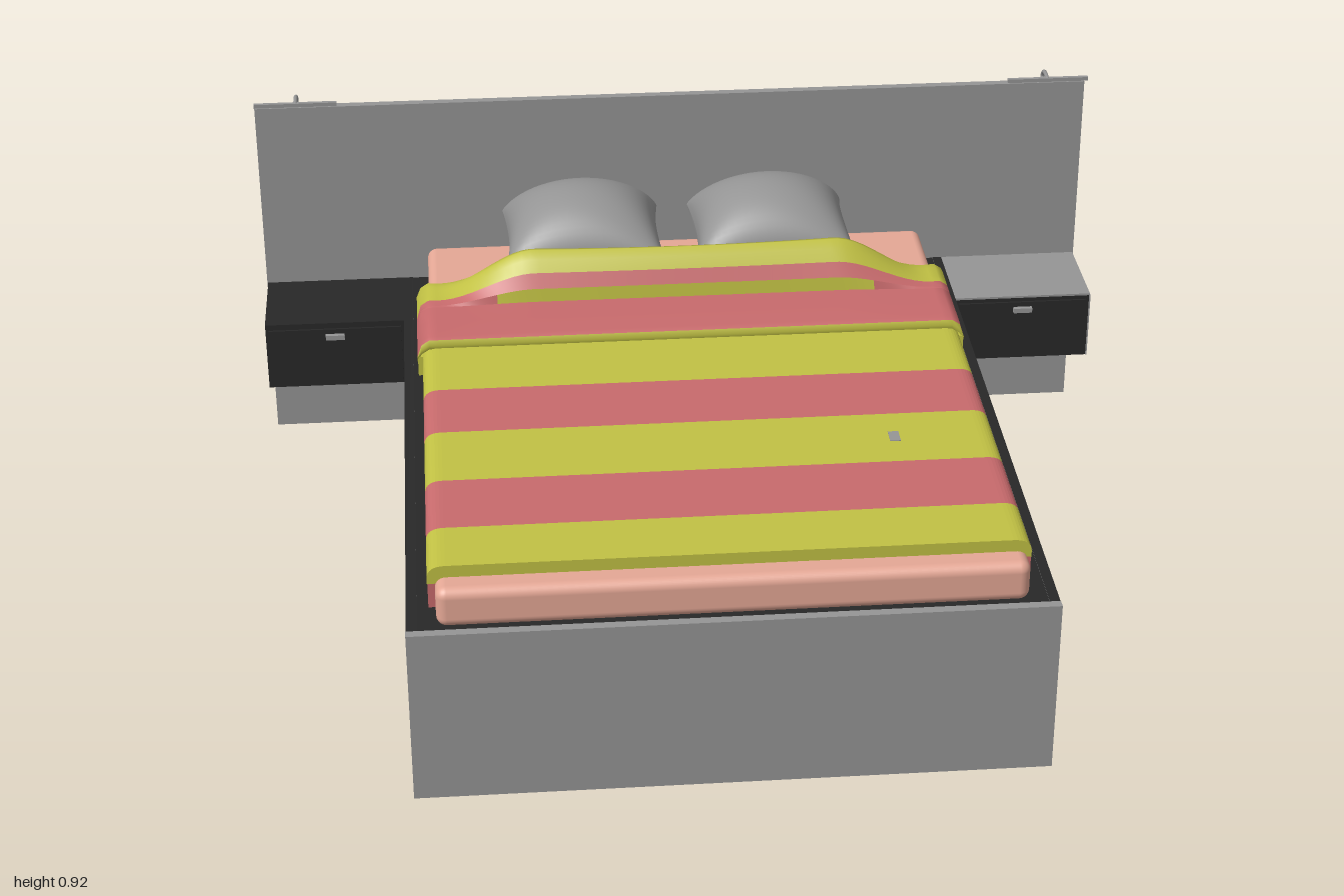
import * as THREE from 'three';
import { RoundedBoxGeometry } from 'three/addons/geometries/RoundedBoxGeometry.js';

const mat = (name, color) => {
  const m = new THREE.MeshStandardMaterial({ color, side: THREE.DoubleSide });
  m.name = name;
  return m;
};

export function createModel() {
  const grey = mat('grey', 0x959595), dark = mat('charcoal', 0x282828);
  const peach = mat('peach', 0xe4a795), yellow = mat('yellow', 0xc1c144), red = mat('red', 0xc76a6c);

  const model = new THREE.Group();
  const bed = new THREE.Group();
  bed.name = 'bed';
  bed.rotation.x = 0.0135; // the whole bed leans very slightly
  model.add(bed);

  const add = (name, geometry, material) => {
    const mesh = new THREE.Mesh(geometry, material);
    mesh.name = name;
    bed.add(mesh);
    return mesh;
  };
  // box given by its limits on each axis
  const box = (name, material, x0, x1, y0, y1, z0, z1) => {
    const mesh = add(name, new THREE.BoxGeometry(Math.abs(x1 - x0), y1 - y0, z1 - z0), material);
    mesh.position.set((x0 + x1) / 2, (y0 + y1) / 2, (z0 + z1) / 2);
    return mesh;
  };
  // smooth surface through rows of [x, y, z] points
  const sheet = (name, material, rows) => {
    const n = rows[0].length, index = [];
    for (let i = 0; i < rows.length - 1; i++)
      for (let j = 0; j < n - 1; j++) {
        const a = i * n + j, b = a + n;
        index.push(a, a + 1, b, b, a + 1, b + 1);
      }
    const g = new THREE.BufferGeometry();
    g.setAttribute('position', new THREE.Float32BufferAttribute(rows.flat(2), 3));
    g.setIndex(index);
    g.computeVertexNormals();
    return add(name, g, material);
  };

  // frame
  box('headboard', grey, -1, 1, 0.011, 0.873, -0.81, -0.79);
  box('footboard', grey, -0.668, 0.668, 0.011, 0.411, 0.788, 0.808);
  box('platform', [dark, dark, dark, grey, dark, dark], -0.645, 0.645, 0.385, 0.41, -0.79, 0.788);
  for (const s of [1, -1]) {
    const faces = Array(6).fill(dark);
    faces[s > 0 ? 1 : 0] = grey; // inner face
    box('sideRail', faces, s * 0.645, s * 0.667, 0.211, 0.411, -0.79, 0.788);

    // nightstand with drawer, handle and top
    box('nightstand', dark, s * 0.667, s * 0.998, 0.241, 0.406, -0.79, -0.566);
    box('nightstandTop', s > 0 ? grey : dark, s * 0.667, s * 0.998, 0.406, 0.411, -0.79, -0.563);
    box('drawerFront', dark, s * 0.675, s * 0.99, 0.25, 0.395, -0.566, -0.561);
    box('drawerHandle', grey, s * 0.81, s * 0.855, 0.371, 0.383, -0.561, -0.55);

    // reading lamp hooked over the headboard
    const hook = new THREE.CatmullRomCurve3([[0.868, -0.797], [0.885, -0.809], [0.899, -0.797], [0.903, -0.772], [0.9, -0.745]]
      .map(([y, z]) => new THREE.Vector3(s * 0.9, y, z)));
    add('lampArm', new THREE.TubeGeometry(hook, 16, 0.005, 8), grey);
    box('lampBar', grey, s * 0.803, s * 0.998, 0.895, 0.904, -0.753, -0.743);
  }
  box('nightstandEdge', grey, 0.997, 1, 0.241, 0.406, -0.572, -0.563);

  // mattress
  const mattress = add('mattress', new RoundedBoxGeometry(1.21, 0.09, 1.565, 4, 0.022), peach);
  mattress.position.set(0, 0.455, 0.003);

  // striped blanket: a rounded top layer, and a hanging lower layer in the other colour
  const top = new THREE.Shape();
  top.moveTo(-0.621, 0.485);
  top.lineTo(0.613, 0.485);
  top.lineTo(0.613, 0.5);
  top.quadraticCurveTo(0.611, 0.527, 0.575, 0.527);
  top.lineTo(-0.583, 0.527);
  top.quadraticCurveTo(-0.619, 0.527, -0.621, 0.5);
  const stripes = [0.732, 0.585, 0.395, 0.19, 0, -0.2];
  for (let i = 0; i < 5; i++) {
    const [z1, z0] = [stripes[i], stripes[i + 1]];
    const [main, other] = i % 2 ? [red, yellow] : [yellow, red];
    const g = new THREE.ExtrudeGeometry(top, { depth: z1 - z0, bevelEnabled: false, curveSegments: 8 });
    add('blanketStripe', g, main).position.z = z0;
    box('blanketSide', other, 0.6, 0.612, 0.43, 0.486, z0, z1);
    box('blanketSide', other, -0.62, -0.6, 0.43, 0.486, z0, z1);
  }
  box('blanketTag', grey, 0.38, 0.403, 0.527, 0.5285, 0.27, 0.31);

  // turned-down fold: rows of [z, ridge height, edge height]
  const backZ = (z, x) => (z > -0.35 ? z : -0.35 + (z + 0.35) * (0.63 + 0.37 * (x / 0.6) ** 2));
  const foldRow = ([z, h, base]) => {
    const row = [];
    for (let i = -30; i <= 30; i++) {
      const x = i * 0.02, r = 1 - THREE.MathUtils.smoothstep(Math.abs(x), 0.35, 0.58);
      row.push([x - 0.005, base + (h - base) * r, backZ(z, x)]);
    }
    const edge = (s) => [[s * 0.618 - 0.005, base - 0.012, backZ(z, 0.6)], [s * 0.628 - 0.005, Math.min(base - 0.03, 0.505), backZ(z, 0.6)]];
    return [...edge(-1).reverse(), ...row, ...edge(1)];
  };
  const bands = [
    ['foldLip', yellow, [[-0.197, 0.525, 0.525], [-0.193, 0.536, 0.536], [-0.198, 0.547, 0.547]]],
    ['foldFront', red, [[-0.198, 0.547, 0.547], [-0.21, 0.552, 0.551], [-0.28, 0.554, 0.551], [-0.352, 0.556, 0.551]]],
    ['foldStreak', red, [[-0.358, 0.587, 0.552], [-0.384, 0.618, 0.553]]],
    ['foldRidge', yellow, [[-0.384, 0.618, 0.553], [-0.41, 0.643, 0.553], [-0.435, 0.659, 0.553], [-0.455, 0.655, 0.553],
      [-0.48, 0.622, 0.55], [-0.498, 0.56, 0.54], [-0.502, 0.5, 0.5]]],
  ];
  for (const [name, material, rows] of bands) sheet(name, material, rows.map(foldRow));
  // the crease under the ridge is yellow in the middle and red at both ends
  const crease = [[-0.352, 0.556, 0.551], [-0.358, 0.587, 0.552]].map(foldRow);
  for (const [material, from, to] of [[red, 0, 11], [yellow, 10, 55], [red, 54, 65]])
    sheet('foldCrease', material, crease.map((row) => row.slice(from, to)));
  for (const s of [1, -1])
    for (const [material, z1, z0] of [[yellow, -0.195, -0.42], [red, -0.42, -0.5]])
      box('foldSide', material, s * 0.604 - 0.005, s * 0.627 - 0.005, 0.46, 0.507, z0, z1);

  // pillows: two puffed halves meeting at a pinched seam
  const pillowHalf = (cx, height, power) => {
    const rows = [], n = 28;
    for (let i = 0; i <= n; i++) {
      const row = [], v = -Math.cos((Math.PI * i) / n);
      for (let j = 0; j <= n; j++) {
        const u = -Math.cos((Math.PI * j) / n);
        const puff = Math.pow(Math.max(0, (1 - u * u) * (1 - v * v)), power);
        row.push([
          cx + 0.188 * u * (1 - 0.06 * (1 - v * v)),
          0.588 + height * puff,
          -0.61 + 0.168 * v * (1 - 0.04 * (1 - u * u)),
        ]);
      }
      rows.push(row);
    }
    return rows;
  };
  for (const cx of [0.218, -0.232]) {
    sheet('pillowTop', grey, pillowHalf(cx, 0.138, 0.43).reverse());
    sheet('pillowBottom', grey, pillowHalf(cx, -0.09, 0.36));
  }
  return model;
}
